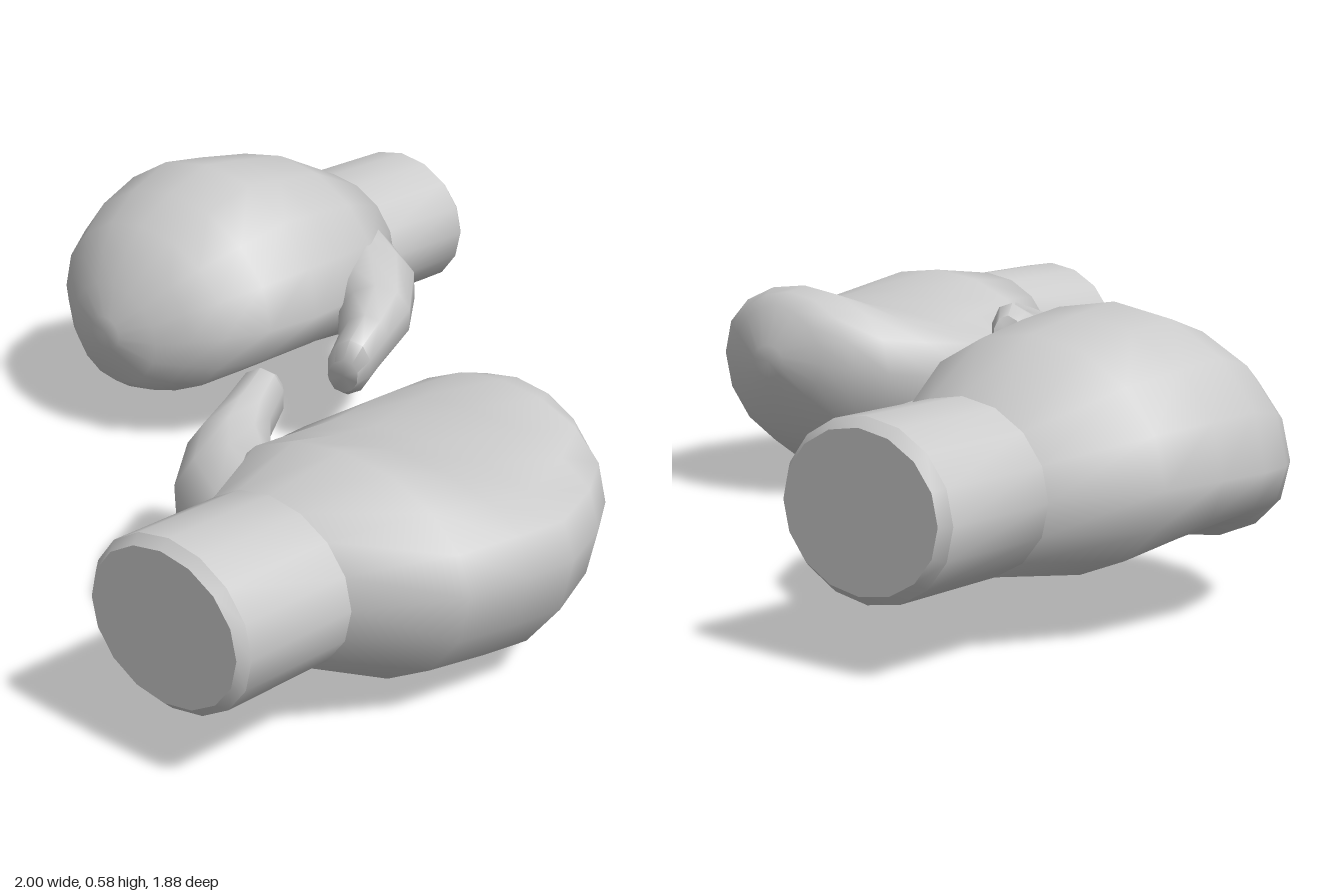
import * as THREE from 'three';
import { toCreasedNormals } from 'three/addons/utils/BufferGeometryUtils.js';

const SIDES = 16;
const MID = 0.2925; // height of the mirror point between the two gloves

// Skin a list of rings (arrays of Vector3), closing both ends with fans.
// sign -1 turns the part through the mirror point, giving the opposite hand.
function loft(rings, sign, crease) {
  const n = rings[0].length, pos = [], idx = [];
  const put = (p) => pos.push(p.x * sign, MID + (p.y - MID) * sign, p.z * sign);
  const tri = (a, b, c) => (sign > 0 ? idx.push(a, b, c) : idx.push(a, c, b));
  rings.forEach((r) => r.forEach(put));
  for (let i = 0; i < rings.length - 1; i++) {
    for (let j = 0; j < n; j++) {
      const k = (j + 1) % n, a = i * n + j, b = i * n + k;
      tri(a, b, a + n);
      tri(b, b + n, a + n);
    }
  }
  const centre = (r) => r.reduce((s, p) => s.add(p), new THREE.Vector3()).divideScalar(n);
  const first = rings.length * n, lastRow = first - n;
  put(centre(rings[0]));
  put(centre(rings[rings.length - 1]));
  for (let j = 0; j < n; j++) {
    const k = (j + 1) % n;
    tri(first, k, j);
    tri(first + 1, lastRow + j, lastRow + k);
  }
  const g = new THREE.BufferGeometry();
  g.setAttribute('position', new THREE.Float32BufferAttribute(pos, 3));
  g.setIndex(idx);
  g.computeVertexNormals();
  return crease ? toCreasedNormals(g, crease) : g;
}

// Upright ring across the glove; flat < 1 makes the palm side boxier.
function section([x, top, bottom, zMin, zMax, mid = MID, flat = 1]) {
  return Array.from({ length: SIDES }, (_, i) => {
    const t = (i / SIDES) * Math.PI * 2, s = Math.sin(t);
    const y = s > 0 ? mid + (top - mid) * s : mid - (mid - bottom) * Math.pow(-s, flat);
    return new THREE.Vector3(x, y, (zMin + zMax) / 2 + ((zMax - zMin) / 2) * Math.cos(t));
  });
}

// Elliptical rings set square to a path of [x, y, z, side radius, up radius].
function limb(stations, up, sides) {
  const pts = stations.map((s) => new THREE.Vector3(s[0], s[1], s[2]));
  return pts.map((p, i) => {
    const d = pts[Math.min(i + 1, pts.length - 1)].clone().sub(pts[Math.max(i - 1, 0)]).normalize();
    const u = up.clone().addScaledVector(d, -up.dot(d)).normalize();
    const h = u.clone().cross(d);
    return Array.from({ length: sides }, (_, j) => {
      const t = (j / sides) * Math.PI * 2;
      return p.clone().addScaledVector(h, Math.cos(t) * stations[i][3])
        .addScaledVector(u, Math.sin(t) * stations[i][4]);
    });
  });
}

// x, top, bottom, zMin, zMax, height of widest line, palm flatness
const CUFF = [
  [1, 0.44, 0.145, -0.77, -0.41],
  [0.98, 0.458, 0.127, -0.787, -0.393],
  [0.73, 0.46, 0.13, -0.788, -0.392],
];
const FIST = [
  [0.73, 0.46, 0.13, -0.788, -0.392],
  [0.54, 0.55, 0.105, -0.9, -0.28, 0.3, 0.95],
  [0.4, 0.572, 0.145, -0.925, -0.25, 0.3, 0.75],
  [0.29, 0.585, 0.165, -0.94, -0.238, 0.3, 0.65],
  [0.17, 0.545, 0.135, -0.905, -0.27, 0.29, 0.75],
  [0.08, 0.488, 0.1, -0.853, -0.327, 0.28, 0.9],
  [0.03, 0.435, 0.11, -0.79, -0.39, 0.27],
  [-0.012, 0.37, 0.137, -0.725, -0.455, 0.26],
  [-0.04, 0.3, 0.225, -0.635, -0.545, 0.26],
];
const THUMB = [
  [0.62, 0.29, -0.45, 0.12, 0.12],
  [0.535, 0.285, -0.3, 0.115, 0.11],
  [0.44, 0.262, -0.2, 0.085, 0.095],
  [0.36, 0.235, -0.16, 0.06, 0.09],
  [0.285, 0.205, -0.137, 0.052, 0.088],
  [0.255, 0.195, -0.127, 0.035, 0.05],
];

function glove(name, sign) {
  const group = new THREE.Group();
  group.name = name;
  const material = new THREE.MeshStandardMaterial({ color: 0xcccccc });
  const add = (part, geometry) => {
    const mesh = new THREE.Mesh(geometry, material);
    mesh.name = part;
    group.add(mesh);
  };
  add('cuff', loft(CUFF.map(section), sign, 0.6));
  add('fist', loft(FIST.map(section), sign));
  add('thumb', loft(limb(THUMB, new THREE.Vector3(0.1, 1, 0.35), 10), sign, 0.9));
  return group;
}

export function createModel() {
  const model = new THREE.Group();
  model.name = 'boxingGloves';
  model.add(glove('gloveBackUp', 1), glove('glovePalmUp', -1));
  return model;
}
